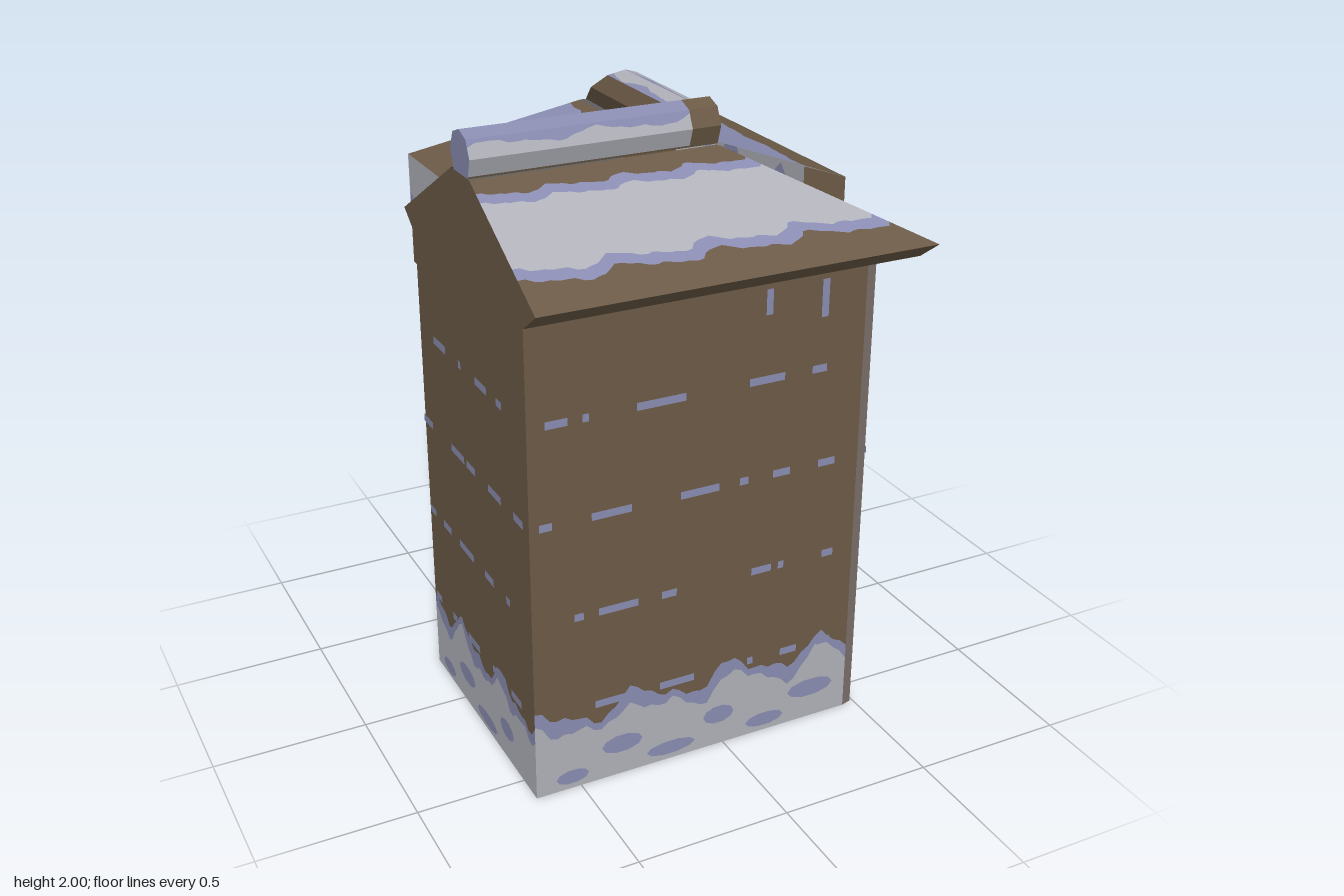
import * as THREE from 'three';
import { mergeGeometries } from 'three/addons/utils/BufferGeometryUtils.js';

const V = (x, y, z) => new THREE.Vector3(x, y, z);

export function createModel() {
  const group = new THREE.Group();
  const paint = (name, color) => {
    const m = new THREE.MeshStandardMaterial({ color, side: THREE.DoubleSide });
    m.name = name;
    return m;
  };
  const brown = paint('brown timber', 0x6b5a46);
  const blue = paint('blue shade', 0x898cb0);
  const pale = paint('pale frost', 0xafb0b8);
  const mauve = paint('worn corner', 0x7c6f6a);

  const add = (name, geo, mat) => {
    const mesh = new THREE.Mesh(geo, mat);
    mesh.name = name;
    group.add(mesh);
  };

  // Flat polygon drawn as a fan
  const poly = (name, pts, mat) => {
    const geo = new THREE.BufferGeometry().setFromPoints(pts);
    const index = [];
    for (let i = 1; i < pts.length - 1; i++) index.push(0, i, i + 1);
    geo.setIndex(index);
    geo.computeVertexNormals();
    add(name, geo, mat);
  };

  // Four-cornered face split into stacked bands; each band is [material, top edge from 0 to 1]
  const face = (name, [a, b, c, d], bands) => {
    const width = Math.max(a.distanceTo(b), d.distanceTo(c));
    const n = Math.max(1, Math.ceil(width / 0.025));
    const at = (s, t) => a.clone().lerp(b, s).lerp(d.clone().lerp(c, s), t);
    const edge = (f, s) => THREE.MathUtils.clamp(typeof f === 'function' ? f(s * width) : f, 0, 1);
    bands.forEach(([mat, top], k) => {
      const low = k ? bands[k - 1][1] : 0;
      const steps = typeof low === 'number' && typeof top === 'number' ? 1 : n;
      const pts = [], index = [];
      for (let i = 0; i <= steps; i++) {
        const s = i / steps;
        pts.push(at(s, edge(low, s)), at(s, edge(top, s)));
        if (i) index.push(2 * i - 2, 2 * i, 2 * i + 1, 2 * i - 2, 2 * i + 1, 2 * i - 1);
      }
      const geo = new THREE.BufferGeometry().setFromPoints(pts);
      geo.setIndex(index);
      geo.computeVertexNormals();
      add(name, geo, mat);
    });
  };

  // Thin painted marks on an upright wall: [u, v, width, height, round]
  const marks = (name, a, b, list, mat) => {
    const dir = b.clone().sub(a).normalize();
    const out = dir.clone().cross(V(0, 1, 0));
    const basis = new THREE.Matrix4().makeBasis(dir, V(0, 1, 0), out)
      .setPosition(a.clone().addScaledVector(out, 0.004));
    const parts = list.map(([u, v, w, h, round]) => {
      const g = round ? new THREE.CircleGeometry(0.5, 10) : new THREE.PlaneGeometry(1, 1);
      return g.scale(w, h, 1).translate(u, v, 0).applyMatrix4(basis);
    });
    if (parts.length) add(name, mergeGeometries(parts), mat);
  };

  const wave = (base, amp, phase) => u =>
    base + amp * (0.6 * Math.sin(u * 19 + phase) + 0.3 * Math.sin(u * 37 + phase * 2) + 0.15 * Math.sin(u * 83));

  // Walls around an L-shaped footprint, open underneath
  const foot = [[-0.65, 0.6], [0.455, 0.6], [0.49, 0.59], [0.49, -0.69], [-0.36, -0.69], [-0.36, -0.25], [-0.65, -0.25]];
  const names = ['frontWall', 'cornerStrip', 'rightWall', 'backWall', 'wingLeftWall', 'notchWall', 'leftWall'];
  const tops = [1.555, 1.555, 1.56, 1.68, 1.56, 1.555, 1.555];
  const frontDashes = [
    [0.285, [[0.25, 0.1], [0.48, 0.12], [0.74, 0.02], [0.88, 0.06], [1.01, 0.05]]],
    [0.61, [[0.15, 0.03], [0.28, 0.13], [0.45, 0.05], [0.77, 0.07], [0.84, 0.02], [1.01, 0.04]]],
    [0.935, [[0.05, 0.04], [0.26, 0.13], [0.55, 0.13], [0.7, 0.03], [0.83, 0.06], [0.99, 0.06]]],
    [1.255, [[0.09, 0.07], [0.18, 0.02], [0.42, 0.16], [0.77, 0.12], [0.95, 0.05]]]];
  const sideDashes = [
    [0.285, [[0.05, 0.05], [0.2, 0.04], [0.37, 0.1], [0.56, 0.06], [0.72, 0.08], [0.94, 0.1], [1.15, 0.07]]],
    [0.61, [[0.04, 0.05], [0.17, 0.07], [0.34, 0.12], [0.53, 0.07], [0.68, 0.03], [0.81, 0.08], [1.08, 0.04], [1.22, 0.05]]],
    [0.935, [[0.04, 0.08], [0.3, 0.11], [0.41, 0.07], [0.6, 0.1], [0.78, 0.07], [0.93, 0.05], [1.23, 0.09]]],
    [1.255, [[0.18, 0.1], [0.35, 0.02], [0.52, 0.09], [0.66, 0.04], [0.83, 0.06], [1.09, 0.05], [1.24, 0.04]]]];

  foot.forEach(([x, z], i) => {
    const [x2, z2] = foot[(i + 1) % foot.length];
    const a = V(x, 0, z), b = V(x2, 0, z2), h = tops[i], len = a.distanceTo(b);
    const corners = [a, b, V(x2, h, z2), V(x, h, z)];
    if (i === 1) return face(names[i], corners, [[mauve, 1]]);
    const rim = wave(0.26, 0.06, i * 1.3 + 1.2);
    const inner = u => rim(u) - 0.045 - 0.02 * Math.sin(u * 23 + i);
    face(names[i], corners, [[pale, u => inner(u) / h], [blue, u => rim(u) / h], [brown, 1]]);
    const dashes = [];
    for (const [y, row] of i ? sideDashes : frontDashes)
      for (const [u, w] of row) if (u + w / 2 < len) dashes.push([u, y, w, 0.025]);
    marks('mortarDashes', a, b, dashes, blue);
    // Shaded patches in the frost
    const patches = [];
    for (let u = 0.12, k = 0; u < len - 0.08; u += 0.17, k++)
      patches.push([u, 0.045 + 0.07 * ((k + i) % 2), 0.11 + 0.03 * (k % 3), 0.05 + 0.015 * (k % 2), true]);
    marks('frostPatches', a, b, patches, blue);
    if (i === 0) marks('drips', a, b, [[0.77, 1.5, 0.022, 0.08], [0.96, 1.48, 0.024, 0.12]], blue);
    if (i === 2) marks('drips', a, b, [[0.03, 1.5, 0.02, 0.06], [0.06, 1.48, 0.024, 0.13]], blue);
  });

  // Boxed overhang of the back wing, with frost hanging from its top edge
  const box = [[0.645, 0.17], [0.645, -0.69], [-0.51, -0.69], [-0.51, -0.23]];
  for (let i = 0; i < 3; i++) {
    const [x, z] = box[i], [x2, z2] = box[i + 1], o = i === 1 ? -0.003 : 0;
    const hang = wave(0.68, 0.17, i * 2);
    face('overhangWall', [V(x, 1.3, z + o), V(x2, 1.3, z2 + o), V(x2, 1.68, z2 + o), V(x, 1.68, z + o)],
      [[brown, u => hang(u) - 0.1], [blue, hang], [pale, 1]]);
  }
  poly('overhangFront', [V(0.49, 1.3, 0.17), V(0.645, 1.3, 0.17), V(0.645, 1.68, 0.17), V(0.49, 1.735, 0.17)], brown);
  for (const [x1, x2, z] of [[0.49, 0.645, 0.17], [-0.51, -0.36, -0.25]])
    poly('overhangUnderside', [V(x1, 1.3, -0.69), V(x2, 1.3, -0.69), V(x2, 1.3, z), V(x1, 1.3, z)], brown);

  // Roof slopes
  const slope = p => [[brown, wave(0.22, 0.05, p)], [blue, wave(0.3, 0.05, p)],
    [pale, wave(0.8, 0.03, p)], [blue, wave(0.87, 0.03, p)], [brown, 1]];
  const wingSlope = p => [[brown, wave(0.3, 0.04, p)], [blue, wave(0.93, 0.03, p)], [brown, 1]];
  const A = V(0.14, 1.87, 0.24), B = V(0.64, 1.62, 0.69), C = V(0.64, 1.555, 0.6), D = V(0.64, 1.585, 0.17);
  face('frontRoof', [V(-0.65, 1.62, 0.69), B, A, V(-0.65, 1.87, 0.24)], slope(1));
  face('notchRoof', [V(-0.01, 1.62, -0.34), V(-0.65, 1.62, -0.34), V(-0.65, 1.87, 0.1), V(-0.01, 1.87, 0.1)], slope(3));
  face('wingRightRoof', [V(0.645, 1.68, 0.17), V(0.645, 1.68, -0.69), V(0.14, 1.87, -0.41), V(0.14, 1.87, 0.17)], wingSlope(0));
  face('wingLeftRoof', [V(-0.51, 1.68, -0.69), V(-0.51, 1.68, -0.234), V(-0.01, 1.87, 0.1), V(-0.01, 1.87, -0.41)], wingSlope(2));
  face('cornerRoof', [C, D, V(0.14, 1.87, 0.17), A],
    [[brown, wave(0.38, 0.06, 1)], [blue, wave(0.5, 0.06, 1)], [pale, 1]]);
  poly('hipSliver', [A, B, C], brown);
  poly('backHip', [V(0.645, 1.68, -0.69), V(-0.51, 1.68, -0.69), V(-0.01, 1.87, -0.41), V(0.14, 1.87, -0.41)], pale);

  // Gable end and soffits
  poly('gable', [V(-0.65, 1.555, -0.25), V(-0.65, 1.555, 0.6), V(-0.65, 1.62, 0.69), V(-0.65, 1.87, 0.24),
    V(-0.65, 1.87, 0.1), V(-0.65, 1.62, -0.34)], brown);
  poly('frontSoffit', [V(-0.65, 1.555, 0.6), C, B, V(-0.65, 1.62, 0.69)], brown);
  poly('notchSoffit', [V(-0.36, 1.555, -0.25), V(-0.65, 1.555, -0.25), V(-0.65, 1.62, -0.34), V(-0.36, 1.62, -0.34)], brown);
  poly('cornerSoffit', [V(0.455, 1.555, 0.6), V(0.49, 1.555, 0.17), D, C], brown);

  // Faceted ridge logs
  const profile = [[0.055, 1.87], [0.075, 1.93], [0.05, 1.982], [0, 2], [-0.05, 1.982], [-0.075, 1.93], [-0.055, 1.87]];
  const log = (name, start, end, facets) => facets.forEach((bands, i) => {
    const p = profile[i], q = profile[i + 1];
    face(name, [start(...p), end(...p), end(...q), start(...q)], bands);
  });
  const across = x => (p, y) => V(x, y, 0.175 + p);
  const along = z => (p, y) => V(0.065 + p, y, z);
  const slanted = (p, y) => V(0.065 + p, y, -0.41 + (y - 1.87) * 1.385);
  const allBlue = [[blue, 1]], allBrown = [[brown, 1]];
  const frosted = [[pale, wave(0.6, 0.3, 0)], [blue, 1]];
  log('frontRidge', across(-0.65), across(0.05), [[[brown, 0.1], [pale, 1]], frosted, allBlue, allBlue, allBlue, allBrown]);
  log('frontRidgeEnd', across(0.05), across(0.145), Array(6).fill(allBrown));
  log('wingRidge', along(0.175), slanted, [[[brown, 0.5], [blue, 1]], allBrown, frosted, [[pale, wave(0.7, 0.3, 1)], [blue, 1]], allBrown, allBrown]);
  const cap = (name, place, mat) => poly(name, profile.map(p => place(...p)), mat);
  cap('ridgeLeftCap', across(-0.65), blue);
  cap('ridgeRightCap', across(0.145), blue);
  cap('ridgeBackCap', slanted, pale);

  return group;
}
